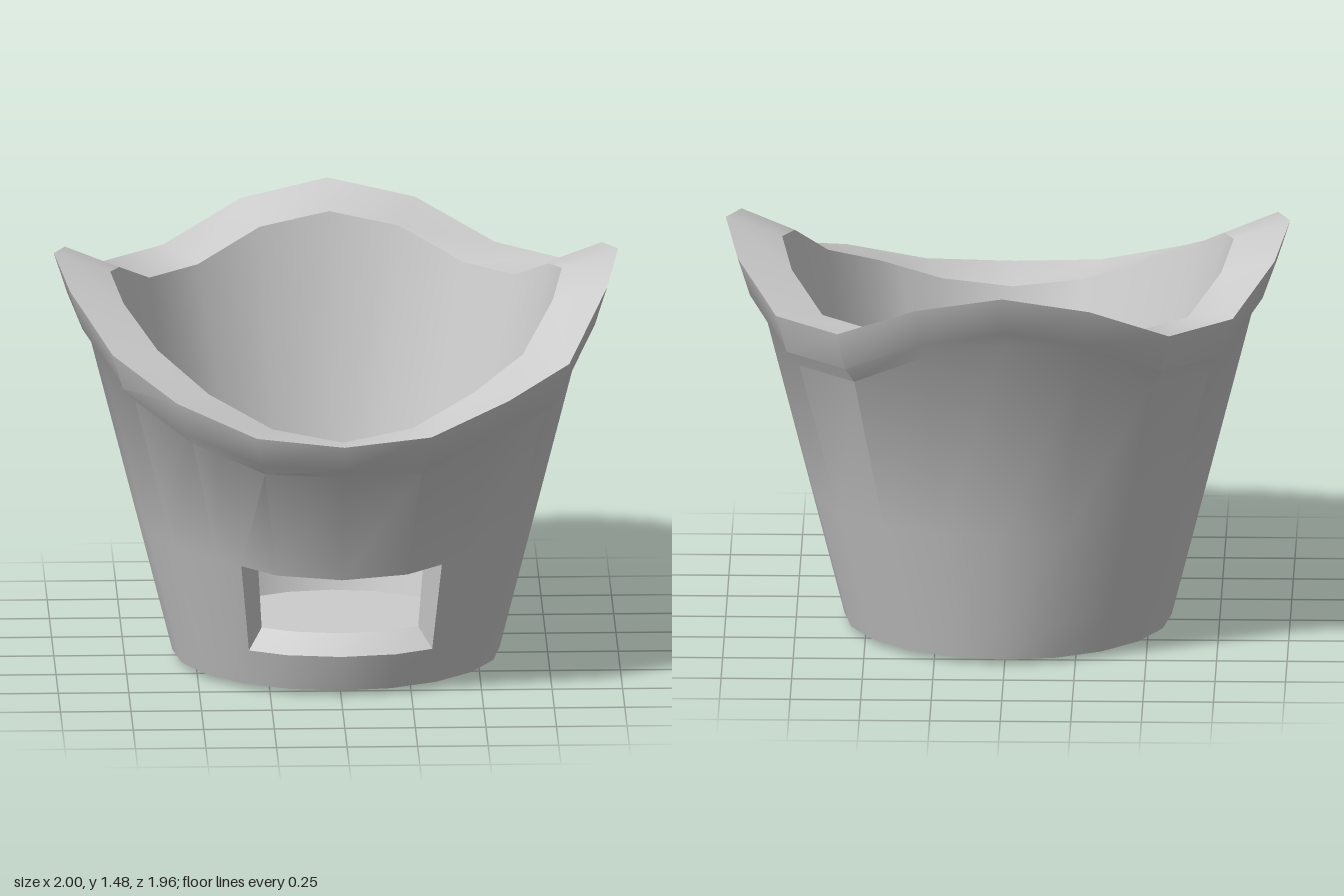
import * as THREE from 'three';
import { toCreasedNormals } from 'three/addons/utils/BufferGeometryUtils.js';

const SIDES = 20;
// rim heights from the front (index 0) round to the back (index 10)
const OUTER_RIM = [1.025, 1.047, 1.14, 1.215, 1.42, 1.48, 1.42, 1.29, 1.29, 1.42, 1.48];
const INNER_RIM = [0.99, 1.03, 1.13, 1.22, 1.36, 1.41, 1.36, 1.26, 1.26, 1.365, 1.41];
const FLOOR_Y = 0.1;

const lerp = THREE.MathUtils.lerp;

// cross-section at one of the 20 corners: up the outside, over the rim, down the inside
function section(k) {
  k %= SIDES;
  const d = Math.min(k, SIDES - k);
  const skew = k === SIDES - 3 ? 0.045 : 0; // slightly uneven rim
  const rim = OUTER_RIM[d] + skew;
  const inner = INNER_RIM[d] + skew * 0.6;
  const near = Math.min(d / 4, 1);
  const lip = rim - lerp(0.14, 0.2, near);
  const flare = rim - lerp(0.1, 0.14, near);
  const high = 0.47 + 0.01 * Math.min(d, 2) ** 2;
  const outR = y => lerp(0.58, 0.9, (y - 0.02) / (lip - 0.02));
  const inR = y => lerp(0.5, 0.8, (y - FLOOR_Y) / (inner - FLOOR_Y));
  const profile = [
    [0.58, 0.02], [outR(0.157), 0.157], [outR(high), high], [0.9, lip], [0.955, flare],
    [1, rim], [0.8, inner], [inR(0.49), 0.49], [inR(0.22), 0.22], [0.5, FLOOR_Y],
  ];
  const a = (k / SIDES) * Math.PI * 2;
  return profile.map(([r, y]) => new THREE.Vector3(r * Math.sin(a), y, 0.98 * r * Math.cos(a)));
}

// section on the flat facet beside the opening, leaning with its jamb
function jambSection(from, to) {
  const a = section(from), b = section(to);
  const t = [0.67, 0.75, 0.6, 0.67, 0.67, 0.67, 0.67, 0.6, 0.75, 0.67];
  return a.map((p, i) => p.clone().lerp(b[i], t[i]));
}

function meshFrom(name, triangles, material) {
  const geo = new THREE.BufferGeometry().setFromPoints(triangles);
  const mesh = new THREE.Mesh(toCreasedNormals(geo, 0.65), material);
  mesh.name = name;
  return mesh;
}

export function createModel() {
  const group = new THREE.Group();
  group.name = 'bucketStove';
  const material = new THREE.MeshStandardMaterial({ color: 0xcccccc });

  // columns run from the left jamb, across the opening, then round the back
  const cols = [jambSection(19, 18), section(19), section(0), section(1), jambSection(1, 2)];
  for (let k = 2; k <= 18; k++) cols.push(section(k));
  const OPEN = 4; // the first four strips hold the opening
  const LOW = 1, HIGH = 2, IN_HIGH = 7, IN_LOW = 8;

  const wall = [], opening = [], base = [], floor = [];
  const quad = (list, a, b, c, d) => list.push(a, b, c, a, c, d);
  const bottomCentre = new THREE.Vector3(0, 0, 0);
  const floorCentre = new THREE.Vector3(0, FLOOR_Y, 0);

  cols.forEach((a, i) => {
    const b = cols[(i + 1) % cols.length];
    for (let r = 0; r < a.length - 1; r++) {
      if (i < OPEN && (r === LOW || r === IN_HIGH)) continue;
      quad(wall, a[r], b[r], b[r + 1], a[r + 1]);
    }
    base.push(bottomCentre, b[0], a[0]);
    floor.push(a[9], b[9], floorCentre);
    if (i < OPEN) {
      // sill and head
      quad(opening, a[LOW], b[LOW], b[IN_LOW], a[IN_LOW]);
      quad(opening, a[IN_HIGH], b[IN_HIGH], b[HIGH], a[HIGH]);
    }
  });

  // jambs
  const l = cols[0], r = cols[OPEN];
  quad(opening, r[LOW], r[HIGH], r[IN_HIGH], r[IN_LOW]);
  quad(opening, l[IN_LOW], l[IN_HIGH], l[HIGH], l[LOW]);

  group.add(
    meshFrom('wallAndRim', wall, material),
    meshFrom('frontOpening', opening, material),
    meshFrom('underside', base, material),
    meshFrom('insideFloor', floor, material),
  );
  return group;
}
